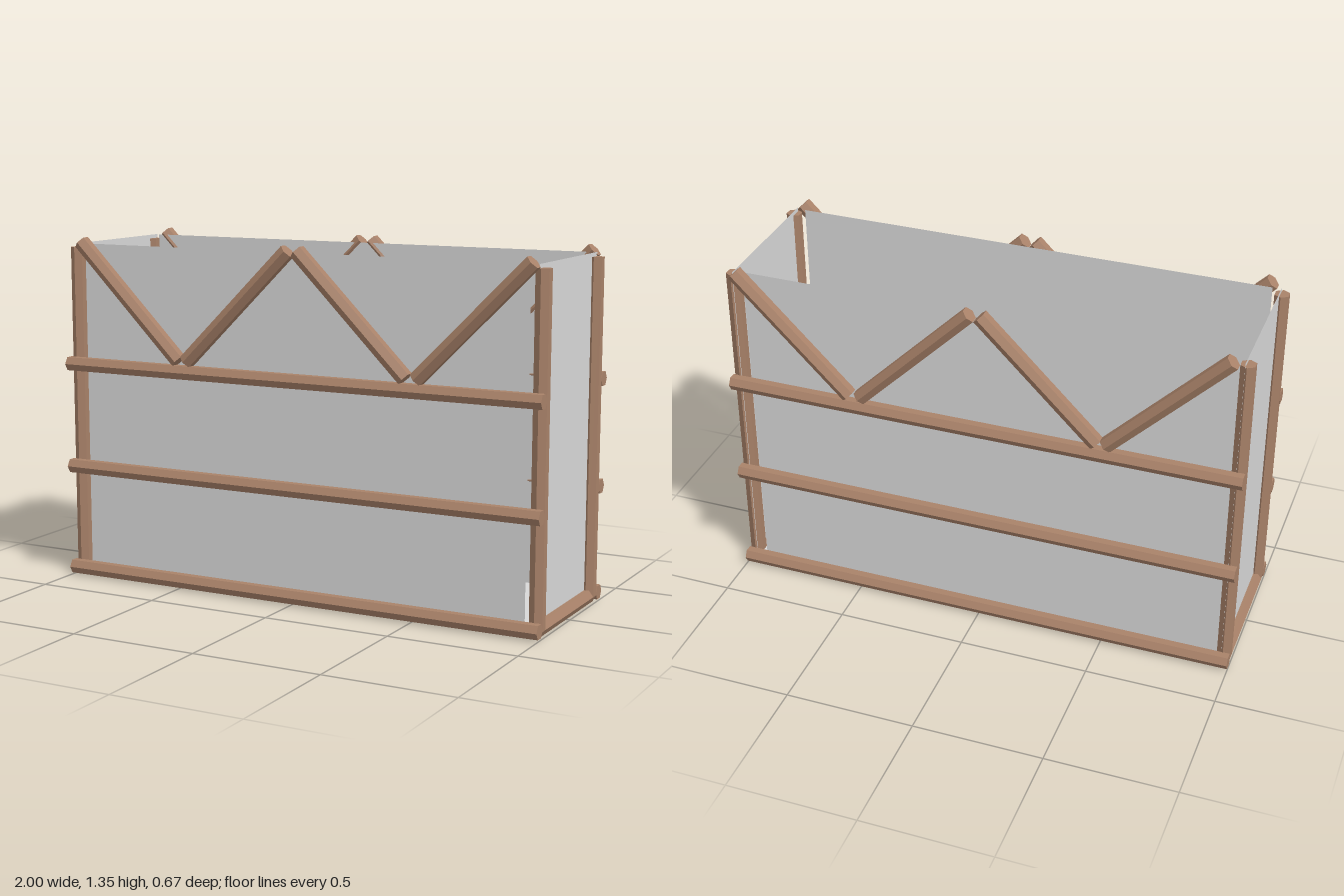
import * as THREE from 'three';

export function createModel() {
  const model = new THREE.Group();
  model.name = 'timberBin';
  const wood = new THREE.MeshStandardMaterial({ color: 0xa98269 });
  wood.name = 'wood';
  const panel = new THREE.MeshStandardMaterial({ color: 0xd8d8d8, side: THREE.DoubleSide });
  panel.name = 'grey panel';

  // Hexagonal beam between two points, with two of its edges pointing along 'edge'
  function beam(name, from, to, edge, radius = 0.03) {
    const a = new THREE.Vector3(...from), b = new THREE.Vector3(...to);
    const dir = b.clone().sub(a);
    const geo = new THREE.CylinderGeometry(radius, radius, dir.length(), 6).toNonIndexed();
    geo.computeVertexNormals();
    const y = dir.normalize(), z = new THREE.Vector3(...edge);
    const x = new THREE.Vector3().crossVectors(y, z);
    const mesh = new THREE.Mesh(geo, wood);
    mesh.quaternion.setFromRotationMatrix(new THREE.Matrix4().makeBasis(x, y, z));
    mesh.position.copy(a).add(b).multiplyScalar(0.5);
    mesh.name = name;
    model.add(mesh);
  }

  // Single-sheet panel turned about x or y
  function sheet(name, w, h, pos, rx, ry) {
    const mesh = new THREE.Mesh(new THREE.PlaneGeometry(w, h), panel);
    mesh.position.set(...pos);
    mesh.rotation.set(rx, ry, 0);
    mesh.name = name;
    model.add(mesh);
  }

  const Z = [0, 0, 1], X = [1, 0, 0];
  const top = 1.338, low = 0.9;
  const braces = [[-0.93, -0.49], [-0.012, -0.455], [0.027, 0.468], [0.952, 0.512]];

  for (const s of [1, -1]) {
    const side = s > 0 ? 'front' : 'back';
    // Long rails
    for (const y of [0.037, 0.448, 0.858])
      beam(side + 'Rail', [-1, y, s * 0.303], [1, y, s * 0.303], Z);
    // Zigzag braces above the top rail
    for (const [xTop, xLow] of braces)
      beam(side + 'Brace', [xTop, top, s * 0.301], [xLow, low, s * 0.301], Z, 0.031);
    // Corner posts
    for (const x of [-0.974, 0.974])
      beam(side + 'Post', [x, 0.03, s * 0.261], [x, 1.315, s * 0.261], Z);
    // Short bottom beams at the ends
    beam(s > 0 ? 'leftEndBeam' : 'rightEndBeam', [s * 0.97, 0.03, -0.278], [s * 0.97, 0.03, 0.278], X);
  }

  // Open-topped lining; the end panels run through the middle of the posts
  const h = 1.315, mid = 0.015 + h / 2;
  sheet('frontPanel', 1.865, h, [-0.0025, mid, 0.2695], 0, 0);
  sheet('backPanel', 1.88, h, [-0.01, mid, -0.275], 0, Math.PI);
  sheet('leftPanel', 0.57, h, [0.966, mid, -0.005], 0, Math.PI / 2);
  sheet('rightPanel', 0.57, h, [-0.968, mid, -0.005], 0, -Math.PI / 2);
  sheet('floorPanel', 1.934, 0.546, [0, 0.045, -0.002], -Math.PI / 2, 0);
  return model;
}
